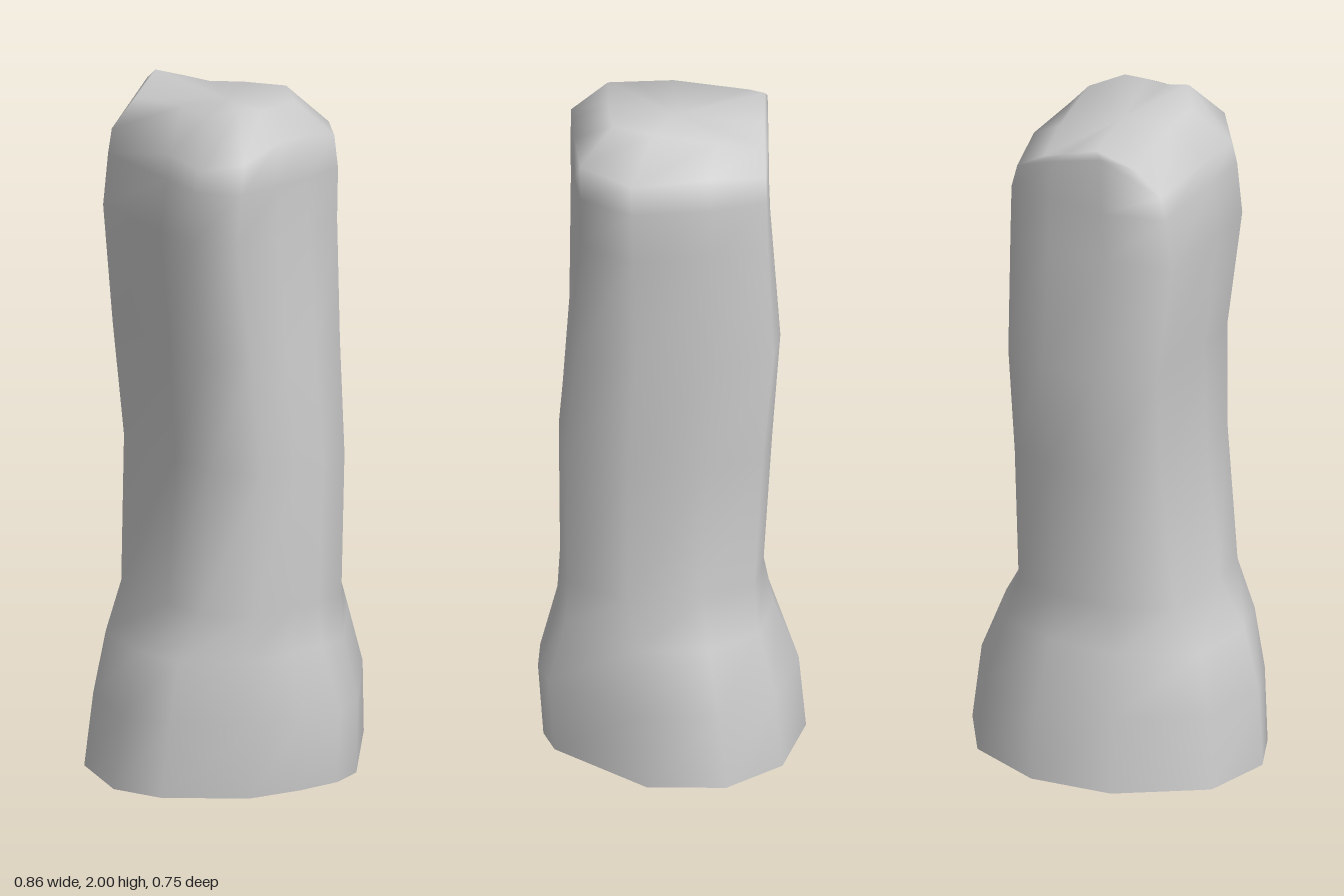
import * as THREE from 'three';

// Unit outlines [x, z], starting at the model's right and passing the front
const FLARED = [[-1, 0], [-.87, .38], [-.44, .83], [-.09, .95], [.19, 1], [.4, .94],
  [.94, .3], [1, -.3], [.76, -.76], [.26, -1], [-.3, -.94], [-.86, -.53]];
const SQUARISH = [[-.97, .1], [-1, .6], [-.7, .95], [-.2, .98], [.2, 1], [.62, .98],
  [1, .5], [1, -.3], [.88, -.88], [.4, -.95], [-.25, -1], [-.93, -.85]];

// y, x min, x max, z back, z front, squareness
const SECTIONS = [
  [0.00, -.43, .425, -.375, .36, 0],
  [0.22, -.41, .405, -.355, .375, 0],
  [0.40, -.36, .34, -.29, .32, .25],
  [0.53, -.275, .275, -.265, .31, .6],
  [0.95, -.24, .27, -.29, .315, .65],
  [1.28, -.245, .27, -.315, .285, .8],
  [1.64, -.285, .27, -.29, .27, .95],
  [1.79, -.265, .265, -.285, .27, 1],
];

// Uneven shoulder and crown heights around the closed end
const SHOULDER = [1.86, 1.85, 1.88, 1.92, 1.92, 1.89, 1.87, 1.88, 1.86, 1.91, 1.96, 1.86];
const CROWN = [1.97, 1.97, 2.0, 1.98, 1.98, 1.98, 1.98, 1.94, 1.91, 1.94, 1.98, 1.93];

function ring([y, x0, x1, z0, z1, square], heights) {
  return FLARED.map(([fx, fz], i) => {
    const [sx, sz] = SQUARISH[i];
    const u = THREE.MathUtils.lerp(fx, sx, square);
    const v = THREE.MathUtils.lerp(fz, sz, square);
    return [(x0 + x1) / 2 + u * (x1 - x0) / 2, heights ? heights[i] : y,
      (z0 + z1) / 2 + v * (z1 - z0) / 2];
  });
}

export function createModel() {
  const group = new THREE.Group();
  group.name = 'flaredStump';

  const rings = SECTIONS.map((s) => ring(s));
  rings.push(ring([0, -.25, .245, -.285, .27, 1], SHOULDER));
  rings.push(ring([0, -.16, .15, -.275, .17, 1], CROWN));

  const n = FLARED.length;
  const positions = rings.flat(2);
  const index = [];
  for (let r = 0; r < rings.length - 1; r++) {
    for (let i = 0; i < n; i++) {
      const j = (i + 1) % n;
      const a = r * n + i, b = r * n + j, c = a + n, d = b + n;
      index.push(a, b, d, a, d, c);
    }
  }

  // Slightly dipped crown closes the upper end; the base stays open
  const centre = positions.length / 3;
  positions.push(0, 1.955, -.02);
  const top = (rings.length - 1) * n;
  for (let i = 0; i < n; i++) index.push(top + i, top + (i + 1) % n, centre);

  const geometry = new THREE.BufferGeometry();
  geometry.setAttribute('position', new THREE.Float32BufferAttribute(positions, 3));
  geometry.setIndex(index);
  geometry.computeVertexNormals();

  const body = new THREE.Mesh(geometry,
    new THREE.MeshStandardMaterial({ color: 0xcccccc, side: THREE.DoubleSide }));
  body.name = 'stumpBody';
  group.add(body);
  return group;
}
